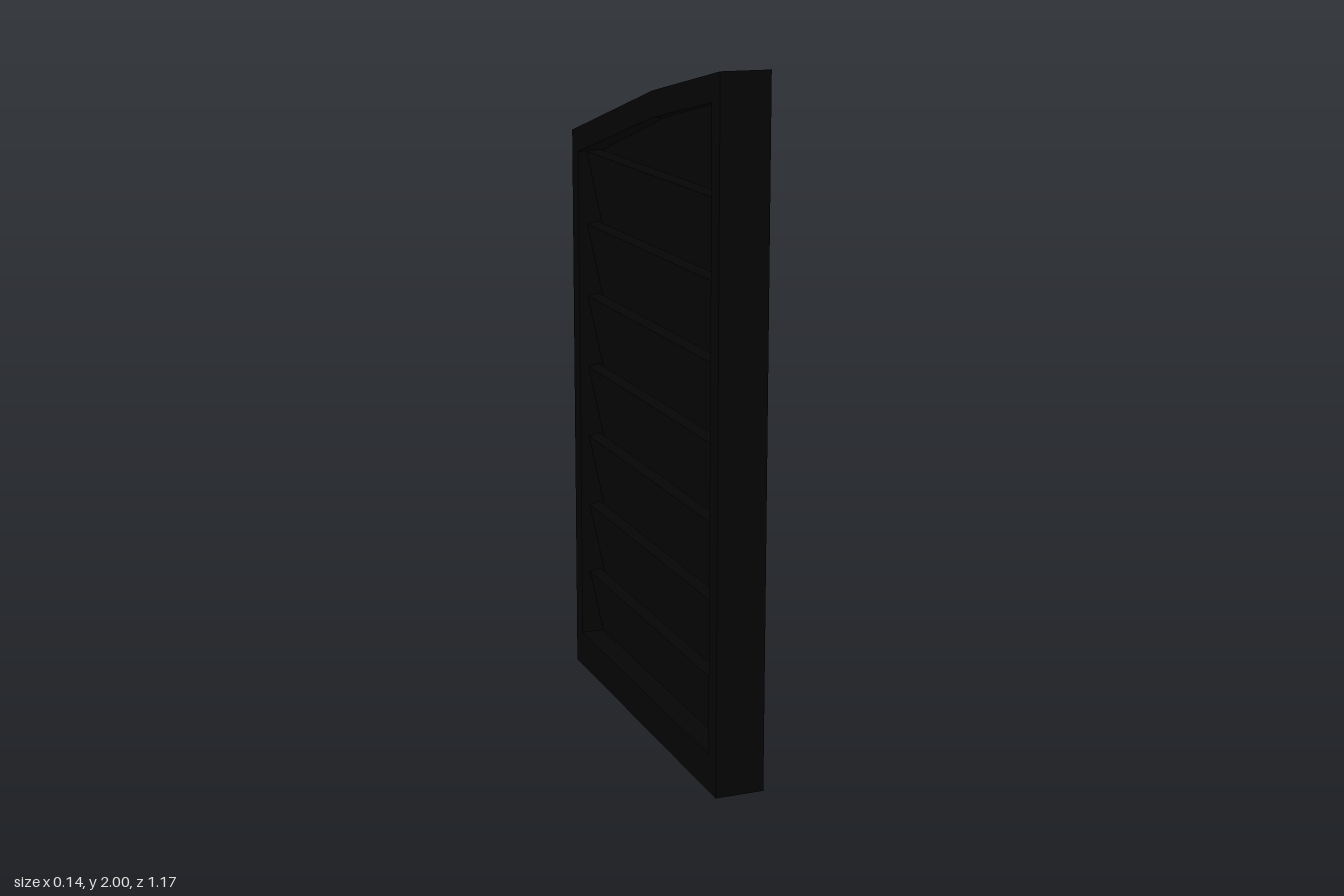
import * as THREE from 'three';

const DEPTH = 0.144;   // frame thickness along x
const PITCH = 0.2245;  // vertical slat spacing
const FIRST = 0.075;   // lower edge of the lowest slat
const TILT = 0.212;    // slat lean in radians
const SLAT = 0.036;    // slat thickness

// Outline points are [z, y]; the result is extruded along x, starting at x0.
// The hole runs in the opposite direction to the outline.
function panel(points, hole, thickness, x0) {
  const toVec = ([z, y]) => new THREE.Vector2(-z, y);
  const shape = new THREE.Shape(points.map(toVec));
  if (hole) shape.holes.push(new THREE.Path(hole.map(toVec).reverse()));
  const geo = new THREE.ExtrudeGeometry(shape, { depth: thickness, bevelEnabled: false });
  geo.rotateY(Math.PI / 2);
  geo.translate(x0, 0, 0);
  return geo;
}

export function createModel() {
  const model = new THREE.Group();
  model.name = 'louveredShutter';
  const black = new THREE.MeshStandardMaterial({ color: 0x050505 });
  black.name = 'black paint';

  // Frame with a sloping, slightly kinked top rail
  const outer = [[0.585, 0], [0.585, 2], [0.1, 1.905], [-0.585, 1.72], [-0.585, 0]];
  const inner = [[0.53, 0.11], [0.53, 1.915], [0.1, 1.83], [-0.53, 1.66], [-0.53, 0.11]];
  const frame = new THREE.Mesh(panel(outer, inner, DEPTH, -DEPTH / 2), black);
  frame.name = 'frame';
  model.add(frame);

  // Overlapping slats, lower edge leaning towards +x
  const slats = new THREE.Group();
  slats.name = 'slats';
  const w = 0.535;
  for (let i = 0; i < 8; i++) {
    const y = FIRST + i * PITCH;
    // the last slat is cut to run up into the top rail
    const outline = i < 7
      ? [[w, 0], [w, 0.25], [-w, 0.25], [-w, 0]]
      : [[w, 0], [w, 1.95 - y], [0.1, 1.865 - y], [-w, 1.695 - y], [-w, 0]];
    const slat = new THREE.Mesh(panel(outline, null, SLAT, -SLAT), black);
    slat.name = 'slat';
    slat.position.set(0.043, y, 0);
    slat.rotation.z = TILT;
    slats.add(slat);
  }
  model.add(slats);
  return model;
}
